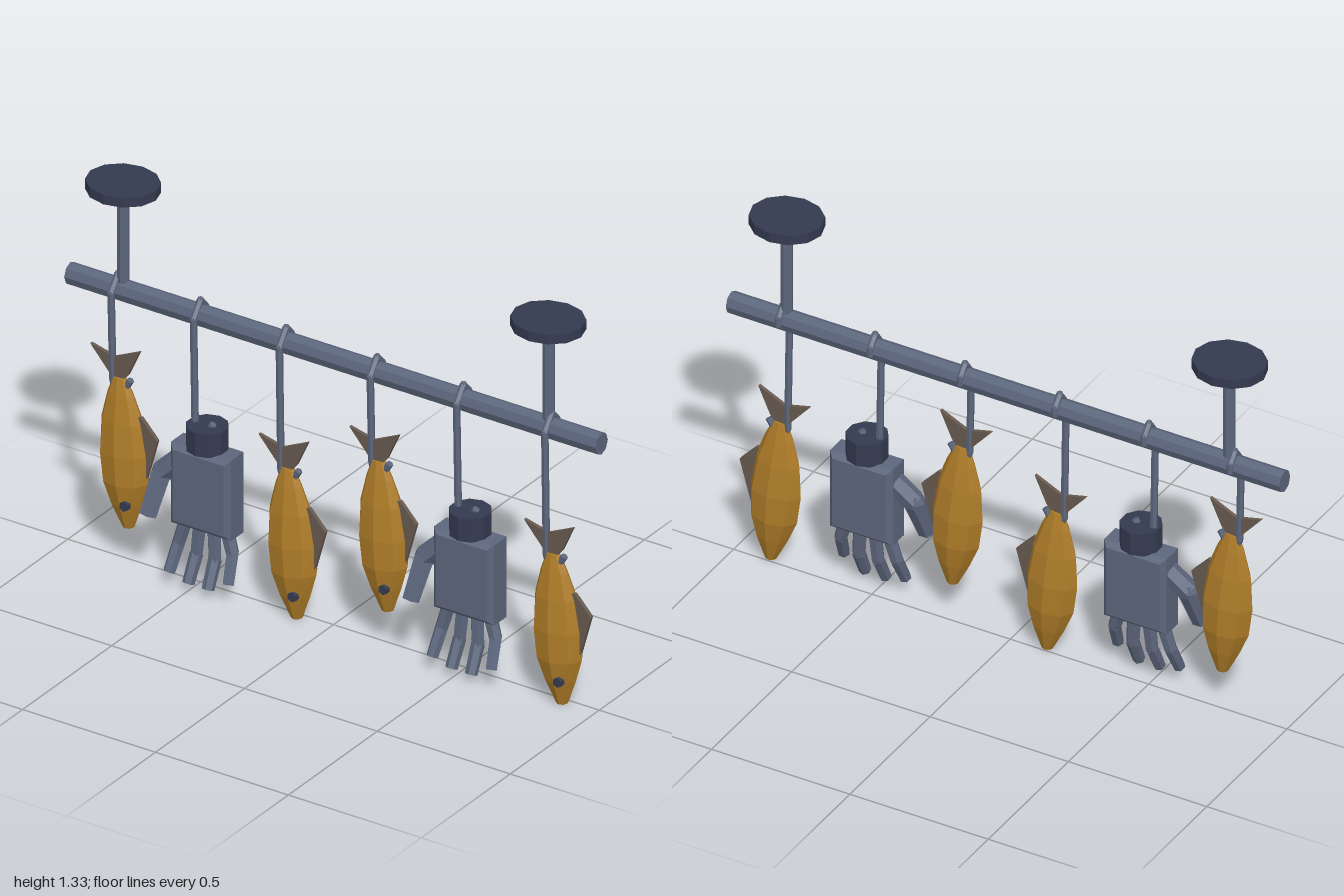
import * as THREE from 'three';

const mat = (name, color) => {
  const m = new THREE.MeshStandardMaterial({ color, flatShading: true });
  m.name = name;
  return m;
};

export function createModel() {
  const steel = mat('steel', 0x5c667c);
  const dark = mat('darkMetal', 0x343a50);
  const gold = mat('fishSkin', 0xae7c28);
  const fin = mat('finBrown', 0x685a50);
  fin.side = THREE.DoubleSide;

  const model = new THREE.Group();
  model.name = 'hangingRail';
  const railZ = -0.014, hangZ = 0.022;
  const V = (a) => new THREE.Vector3(...a);

  const add = (parent, name, geo, material, x = 0, y = 0, z = 0) => {
    const m = new THREE.Mesh(geo, material);
    m.name = name;
    m.position.set(x, y, z);
    parent.add(m);
    return m;
  };

  // Tapered rod between two points
  const rod = (parent, name, a, b, ra, rb, material, sides = 6) => {
    const p = V(a), q = V(b), d = q.clone().sub(p);
    const m = add(parent, name, new THREE.CylinderGeometry(rb, ra, d.length(), sides), material);
    m.position.copy(p).add(q).multiplyScalar(0.5);
    m.quaternion.setFromUnitVectors(new THREE.Vector3(0, 1, 0), d.normalize());
    return m;
  };

  // Chain of rods through points, with a faceted ball at each bend
  const chain = (parent, name, pts, radii, material, sides = 6) => {
    for (let i = 0; i + 1 < pts.length; i++) {
      rod(parent, name, pts[i], pts[i + 1], radii[i], radii[i + 1], material, sides);
      if (i) add(parent, name + 'Joint', new THREE.SphereGeometry(radii[i], sides, 4), material, ...pts[i]);
    }
  };

  // Flat plate cut from an outline, centred in z
  const plate = (parent, name, pts, depth, material) => {
    const shape = new THREE.Shape(pts.map(([x, y]) => new THREE.Vector2(x, y)));
    const geo = new THREE.ExtrudeGeometry(shape, { depth, bevelEnabled: false });
    geo.translate(0, 0, -depth / 2);
    return add(parent, name, geo, material);
  };

  // Rail, posts and ceiling plates
  const rail = add(model, 'rail', new THREE.CylinderGeometry(0.038, 0.038, 2, 8), steel, 0, 0.945, railZ);
  rail.rotation.z = Math.PI / 2;
  rail.scale.z = 0.9;
  for (const x of [-0.8, 0.8]) {
    add(model, 'post', new THREE.CylinderGeometry(0.02, 0.02, 0.36, 8), steel, x, 1.13, railZ);
    const p = add(model, 'ceilingPlate', new THREE.CylinderGeometry(0.123, 0.123, 0.034, 12), dark, x, 1.318, -0.012);
    p.scale.z = 0.9;
  }

  // Hook over the rail, ending in a small upturned point
  const hook = (x, tipY) => {
    const g = new THREE.Group();
    g.name = 'hook';
    model.add(g);
    const r = 0.012;
    chain(g, 'hookRod', [
      [x, 0.935, -0.044], [x, 0.965, -0.043], [x, 0.998, railZ], [x, 0.945, hangZ + 0.003],
      [x + 0.004, tipY - 0.015, hangZ], [x + 0.02, tipY - 0.055, hangZ],
      [x + 0.045, tipY - 0.045, hangZ], [x + 0.072, tipY, hangZ],
    ], [r, r, r, r, r, r, r, r], steel);
  };

  // Fish body rings: distance from the tail, half width, half depth
  const rings = [
    [0, 0.024, 0.014], [0.06, 0.05, 0.028], [0.15, 0.078, 0.046], [0.26, 0.09, 0.059],
    [0.36, 0.083, 0.059], [0.44, 0.055, 0.045], [0.523, 0.019, 0.02],
  ];
  const fish = (x, topY) => {
    const g = new THREE.Group();
    g.name = 'fish';
    g.position.set(x + 0.03, topY, hangZ);
    model.add(g);
    const geo = new THREE.CylinderGeometry(1, 1, 1, 8, rings.length - 1);
    const p = geo.attributes.position;
    for (let i = 0; i < p.count; i++) {
      const [s, w, d] = rings[Math.round((0.5 - p.getY(i)) * (rings.length - 1))];
      p.setXYZ(i, p.getX(i) * w, -s, p.getZ(i) * d);
    }
    geo.computeVertexNormals();
    add(g, 'fishBody', geo, gold).rotation.z = 0.067;
    plate(g, 'tailFin', [[-0.02, -0.01], [0.012, -0.01], [0.036, 0.02], [0.078, 0.113], [-0.018, 0.068], [-0.107, 0.09]], 0.012, fin);
    plate(g, 'backFin', [[0.06, -0.12], [0.085, -0.12], [0.145, -0.185], [0.105, -0.33], [0.07, -0.33]], 0.014, fin);
    const eye = add(g, 'eye', new THREE.CylinderGeometry(0.017, 0.017, 0.022, 6), dark, 0.05, -0.425, 0.043);
    eye.rotation.x = Math.PI / 2;
  };

  // Mechanical hand, hanging fingers down
  const hand = (x) => {
    const g = new THREE.Group();
    g.name = 'hand';
    g.position.set(x + 0.05, 0, hangZ);
    model.add(g);
    add(g, 'cuff', new THREE.CylinderGeometry(0.069, 0.069, 0.082, 10), dark, 0, 0.544, 0);
    const b = 0.017, w = 0.113, lo = 0.22, hi = 0.506;
    const palm = new THREE.Shape([[-w + b, lo + b], [w - b, lo + b], [w - b, hi - b], [-w + b, hi - b]]
      .map(([px, py]) => new THREE.Vector2(px, py)));
    const geo = new THREE.ExtrudeGeometry(palm, { depth: 0.07, bevelEnabled: true, bevelSize: b, bevelThickness: b, bevelSegments: 1 });
    geo.translate(0, 0, -0.035);
    add(g, 'palm', geo, steel);
    // Finger: knuckle x, middle x, tip x, tip height
    for (const [x0, x1, x2, y] of [[-0.075, -0.102, -0.11, 0.05], [-0.027, -0.035, -0.038, 0.03], [0.025, 0.034, 0.036, 0.03], [0.072, 0.1, 0.112, 0.07]]) {
      chain(g, 'finger', [[x0, 0.24, 0], [x1, y + 0.09, 0.008], [x2, y, 0.05]], [0.024, 0.022, 0.02], steel);
    }
    chain(g, 'thumb', [[-0.095, 0.44, 0], [-0.162, 0.375, 0.015], [-0.178, 0.24, 0.068]], [0.036, 0.036, 0.031], steel);
  };

  // Hang everything along the rail
  for (const [x, y] of [[-0.82, 0.655], [-0.187, 0.525], [0.155, 0.655], [0.812, 0.525]]) {
    hook(x, y);
    fish(x, y);
  }
  for (const x of [-0.51, 0.48]) {
    hook(x, 0.592);
    hand(x);
  }
  return model;
}
